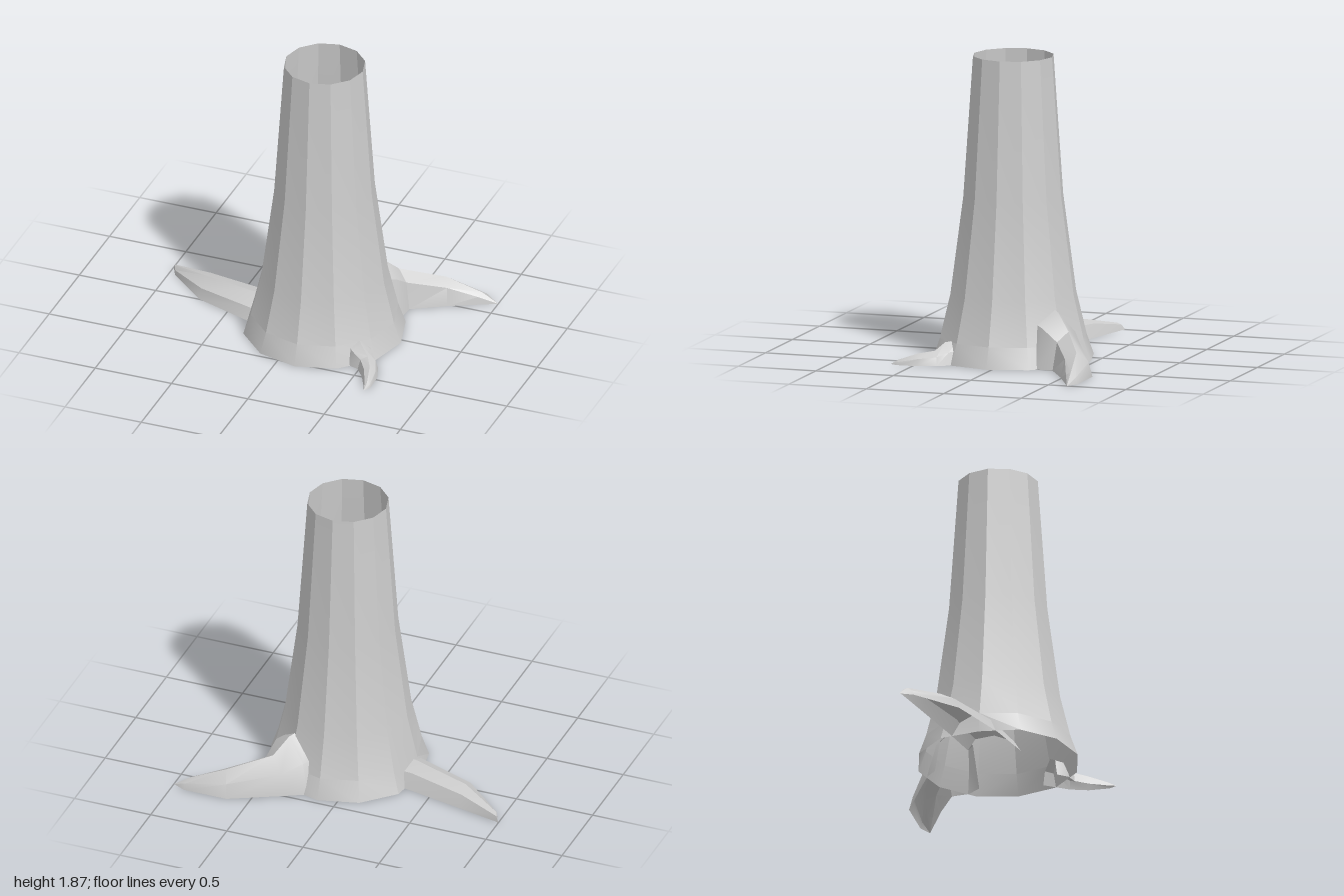
import * as THREE from 'three';
import { toCreasedNormals } from 'three/addons/utils/BufferGeometryUtils.js';

const bark = new THREE.MeshStandardMaterial({ color: 0xcccccc, side: THREE.DoubleSide });

// Arched cross-section: [position from left to right, fraction of height]
const ARCH = [[0, 0], [0.12, 0.6], [0.5, 1], [0.86, 0.75], [1, 0]];

// Open-bottomed root; each section is [leftX, leftZ, rightX, rightZ, height], going outward
function makeRoot(name, sections) {
  const positions = [];
  const indices = [];
  const n = ARCH.length;
  sections.forEach(([lx, lz, rx, rz, h], i) => {
    ARCH.forEach(([t, k], j) => {
      positions.push(lx + (rx - lx) * t, h * k, lz + (rz - lz) * t);
      if (i < sections.length - 1 && j < n - 1) {
        const a = i * n + j;
        indices.push(a, a + 1, a + n, a + 1, a + n + 1, a + n);
      }
    });
  });
  const geometry = new THREE.BufferGeometry();
  geometry.setAttribute('position', new THREE.Float32BufferAttribute(positions, 3));
  geometry.setIndex(indices);
  const mesh = new THREE.Mesh(toCreasedNormals(geometry, 0.6), bark);
  mesh.name = name;
  return mesh;
}

// Hollow twelve-sided trunk, flared at the foot and open at both ends
function makeTrunk() {
  const profile = [[0.5, 0], [0.455, 0.13], [0.39, 0.4], [0.31, 1], [0.25, 1.865]]
    .map(([r, y]) => new THREE.Vector2(r, y));
  const geometry = new THREE.LatheGeometry(profile, 12);
  geometry.translate(0.12, 0, 0.033);
  // The foot is slightly flattened above the long side root
  const p = geometry.attributes.position;
  for (let i = 0; i < p.count; i++) p.setX(i, Math.max(p.getX(i), -0.35));
  const mesh = new THREE.Mesh(toCreasedNormals(geometry, 0.5), bark);
  mesh.name = 'trunk';
  return mesh;
}

export function createModel() {
  const model = new THREE.Group();
  model.name = 'treeTrunk';
  model.add(
    makeTrunk(),
    makeRoot('sideRoot', [
      [-0.02, 0.21, -0.1, -0.1, 0.1],
      [-0.32, 0.14, -0.36, -0.15, 0.13],
      [-0.71, 0, -0.72, -0.23, 0.105],
      [-0.96, -0.22, -0.985, -0.29, 0.045],
      [-1, -0.3, -1, -0.3, 0],
    ]),
    makeRoot('backRoot', [
      [0.14, -0.37, 0.45, -0.17, 0.36],
      [0.2, -0.43, 0.51, -0.25, 0.33],
      [0.33, -0.5, 0.52, -0.36, 0.23],
      [0.64, -0.66, 0.72, -0.48, 0.15],
      [0.92, -0.66, 0.88, -0.56, 0.065],
      [1, -0.62, 1, -0.62, 0],
    ]),
    makeRoot('frontRoot', [
      [0.5, 0.22, 0.37, 0.34, 0.14],
      [0.55, 0.29, 0.42, 0.4, 0.13],
      [0.6, 0.36, 0.49, 0.42, 0.085],
      [0.64, 0.47, 0.55, 0.5, 0.07],
      [0.645, 0.6, 0.6, 0.6, 0.03],
      [0.62, 0.65, 0.62, 0.65, 0],
    ]),
  );
  return model;
}
